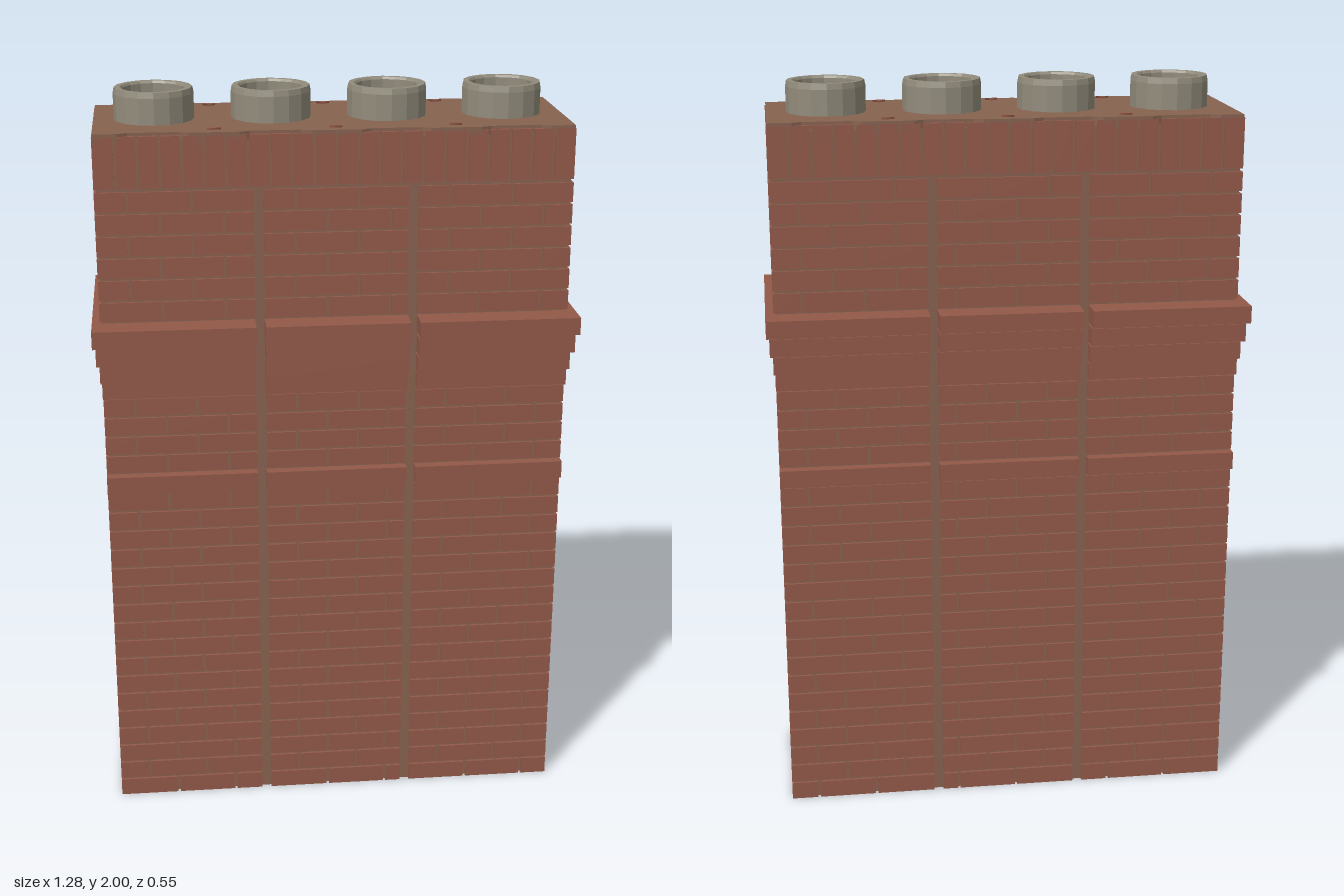
import * as THREE from 'three';
import { mergeGeometries } from 'three/addons/utils/BufferGeometryUtils.js';

const HALF_X = 0.62, HALF_Z = 0.203, FACE = 0.02, JOINT = 0.007, BRICK = 0.165;

function material(name, color) {
  const m = new THREE.MeshStandardMaterial({ color });
  m.name = name;
  return m;
}

// Box given by its lower and upper limits
function box(x0, x1, y0, y1, z0, z1) {
  return new THREE.BoxGeometry(x1 - x0, y1 - y0, z1 - z0)
    .translate((x0 + x1) / 2, (y0 + y1) / 2, (z0 + z1) / 2);
}

// Cut points of one brick course; odd courses start with a half brick
function coursePieces(from, to, odd) {
  const cuts = [from];
  for (let p = from + (odd ? BRICK / 2 : BRICK); p < to - 0.02; p += BRICK) cuts.push(p);
  cuts.push(to);
  return cuts.slice(1).map((end, i) => [
    cuts[i] + (i ? JOINT / 2 : 0),
    end - (i < cuts.length - 2 ? JOINT / 2 : 0),
  ]);
}

export function createModel() {
  const brick = material('brick red', 0x925949);
  const mortar = material('mortar brown', 0x86624f);
  const clay = material('pot grey', 0x918b7b);
  const soot = material('soot', 0x28271b);
  const model = new THREE.Group();
  model.name = 'chimneyStack';
  const add = (name, geometry, mat, parent = model) => {
    const mesh = new THREE.Mesh(geometry, mat);
    mesh.name = name;
    parent.add(mesh);
    return mesh;
  };

  // Brick core, with mortar behind the long faces and in the two vertical strips
  add('brickCore', box(-HALF_X + 0.006, HALF_X - 0.006, 0, 1.895, -0.19, 0.19), brick);
  add('mortarBacking', mergeGeometries([-1, 1].map((s) =>
    box(-HALF_X + 0.006, HALF_X - 0.006, 0.002, 1.895, s * 0.1925 - 0.0035, s * 0.1925 + 0.0035))), mortar);

  // Brick courses in three panels on the long faces and one on each end
  const panels = [[-HALF_X, -0.214], [-0.188, 0.188], [0.214, HALF_X]];
  const bricks = [];
  const addFrontBack = (x0, x1, y0, y1) => {
    bricks.push(box(x0, x1, y0, y1, HALF_Z - FACE, HALF_Z));
    bricks.push(box(x0, x1, y0, y1, -HALF_Z, -HALF_Z + FACE));
  };
  const addEnds = (z0, z1, y0, y1) => {
    bricks.push(box(HALF_X - FACE, HALF_X, y0, y1, z0, z1));
    bricks.push(box(-HALF_X, -HALF_X + FACE, y0, y1, z0, z1));
  };
  // [bottom, top, courses]
  const runs = [[0, 0.945, 17], [0.945, 1.0, 1], [1.0, 1.217, 4], [1.425, 1.774, 6]];
  let course = 0;
  for (const [bottom, top, count] of runs) {
    const pitch = (top - bottom) / count;
    for (let i = 0; i < count; i++, course++) {
      const y0 = bottom + i * pitch, y1 = y0 + pitch - JOINT;
      for (const [x0, x1] of panels)
        for (const [a, b] of coursePieces(x0, x1, course % 2)) addFrontBack(a, b, y0, y1);
      for (const [a, b] of coursePieces(-HALF_Z, HALF_Z, course % 2 === 0)) addEnds(a, b, y0, y1);
    }
  }
  add('brickCourses', mergeGeometries(bricks), brick);

  // Upright bricks around the top
  bricks.length = 0;
  const upright = (half, count, put) => {
    const w = 2 * half / count;
    for (let i = 0; i < count; i++)
      put(-half + i * w + (i ? JOINT / 2 : 0), -half + (i + 1) * w - (i < count - 1 ? JOINT / 2 : 0), 1.776, 1.909);
  };
  upright(HALF_X, 22, addFrontBack);
  upright(HALF_Z, 7, addEnds);
  add('uprightTopCourse', mergeGeometries(bricks), brick);

  // Projecting courses, split by the mortar strips: [bottom, top, half x, half z]
  const ledges = [
    [0.947, 0.995, 0.62, 0.225],
    [1.217, 1.262, 0.621, 0.219],
    [1.266, 1.313, 0.625, 0.236],
    [1.319, 1.367, 0.633, 0.254],
    [1.373, 1.42, 0.641, 0.273],
  ];
  ledges.forEach(([y0, y1, hx, hz], i) => {
    const parts = [[-hx, -0.215], [-0.19, 0.19], [0.215, hx]].map(([a, b]) => box(a, b, y0, y1, -hz, hz));
    add(i ? 'corbelCourse' : 'stringCourse', mergeGeometries(parts), brick);
  });

  // Mortar bed on top, with shallow scallops along its long edges
  const edge = [];
  for (let i = 0; i < 4; i++) {
    const c = -0.465 + i * 0.31;
    edge.push([c - 0.09, 0.203], [c - 0.065, 0.192], [c + 0.065, 0.192], [c + 0.09, 0.203]);
  }
  const bed = new THREE.Shape([
    new THREE.Vector2(-0.618, 0.203), ...edge.map(([x, z]) => new THREE.Vector2(x, z)),
    new THREE.Vector2(0.618, 0.203), new THREE.Vector2(0.618, -0.203),
    ...edge.map(([x, z]) => new THREE.Vector2(-x, -z)), new THREE.Vector2(-0.618, -0.203),
  ]);
  add('mortarBed', new THREE.ExtrudeGeometry(bed, { depth: 0.025, bevelEnabled: false })
    .rotateX(-Math.PI / 2).translate(0, 1.892, 0), mortar);

  // Small brick corners showing through the bed, pointing inwards
  for (const x of [-0.31, 0, 0.31]) for (const s of [-1, 1]) {
    const chip = add('brickChip', new THREE.CylinderGeometry(0.02, 0.02, 0.008, 3), brick);
    chip.rotation.y = s > 0 ? Math.PI : 0;
    chip.scale.z = 0.55;
    chip.position.set(x, 1.918, s * 0.166);
  }

  // Four hollow pots
  const profile = [[0.105, 1.9], [0.105, 1.985], [0.102, 2], [0.087, 2], [0.083, 1.994], [0.083, 1.917]]
    .map(([r, y]) => new THREE.Vector2(r, y));
  const potShape = new THREE.LatheGeometry(profile, 16).toNonIndexed();
  potShape.computeVertexNormals();
  const flue = new THREE.CircleGeometry(0.084, 16).rotateX(-Math.PI / 2).translate(0, 1.922, 0);
  for (let i = 0; i < 4; i++) {
    const pot = new THREE.Group();
    pot.name = 'chimneyPot';
    pot.position.x = -0.46 + i * 0.3067;
    add('potWall', potShape, clay, pot);
    add('flueOpening', flue, soot, pot);
    model.add(pot);
  }
  return model;
}
